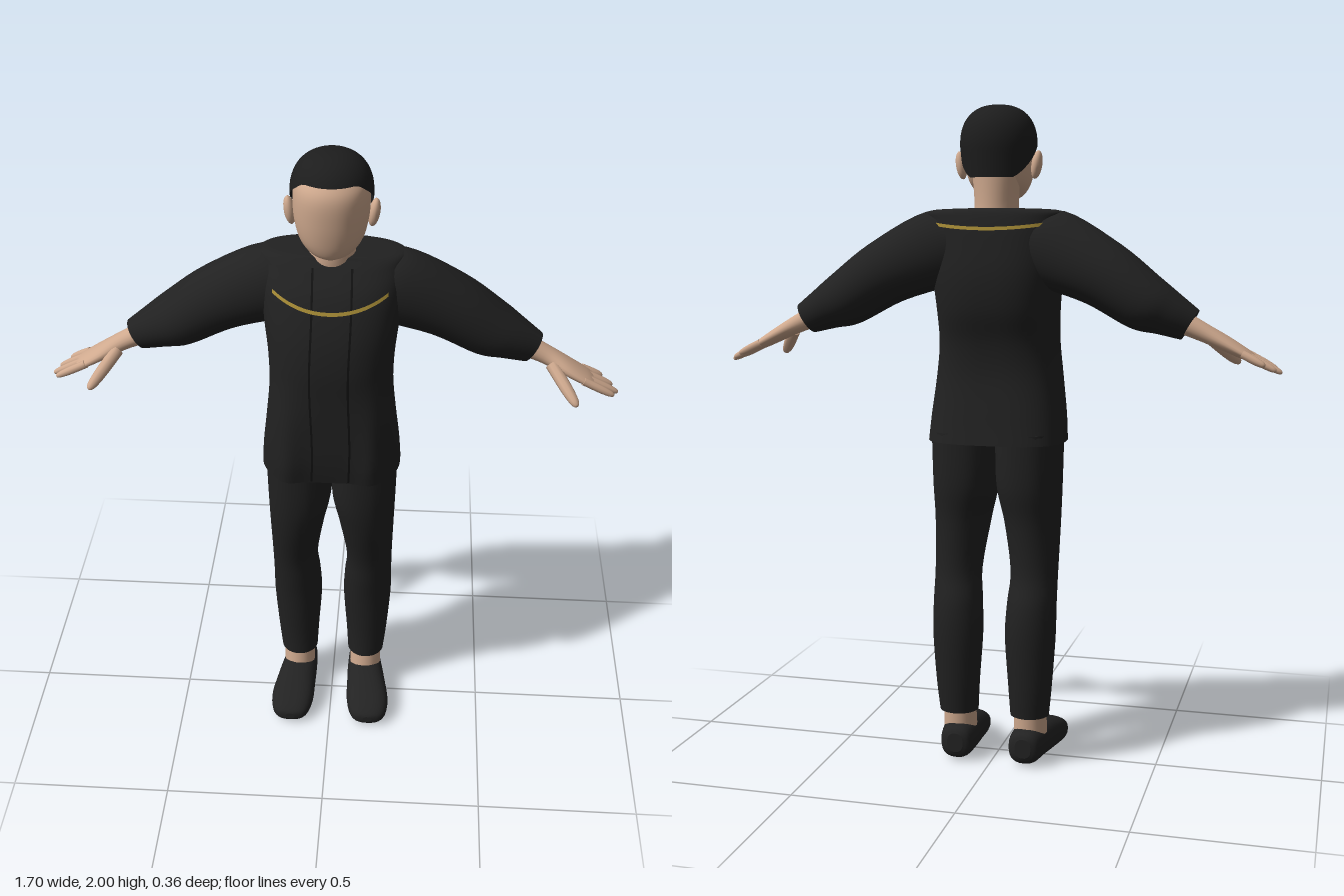
import * as THREE from 'three';

const mat = (name, color, side = THREE.FrontSide) => {
  const m = new THREE.MeshStandardMaterial({ color, side });
  m.name = name;
  return m;
};
const V3 = (x, y, z) => new THREE.Vector3(x, y, z);

// Catmull-Rom refinement of a list of number rows
function smooth(rows, k = 5) {
  const out = [], at = i => rows[Math.max(0, Math.min(rows.length - 1, i))];
  for (let i = 0; i < rows.length - 1; i++) {
    for (let s = 0; s < k; s++) {
      const t = s / k;
      out.push(rows[i].map((p1, c) => {
        const p0 = at(i - 1)[c], p2 = at(i + 1)[c], p3 = at(i + 2)[c];
        return p1 + 0.5 * t * (p2 - p0 + t * (2 * p0 - 5 * p1 + 4 * p2 - p3 + t * (3 * (p1 - p2) + p3 - p0)));
      }));
    }
  }
  out.push(rows[rows.length - 1]);
  return out;
}

// Surface from rings of points; optionally closed around and capped at both ends
function skin(rings, closed = true, caps = true) {
  const pos = [], idx = [], n = rings[0].length;
  rings.forEach(r => r.forEach(p => pos.push(p.x, p.y, p.z)));
  for (let i = 0; i < rings.length - 1; i++) {
    for (let j = 0; j < (closed ? n : n - 1); j++) {
      const a = i * n + j, b = i * n + (j + 1) % n;
      idx.push(a, b, b + n, a, b + n, a + n);
    }
  }
  if (caps) {
    [rings[0], rings[rings.length - 1]].forEach((r, end) => {
      const s = pos.length / 3, c = V3(0, 0, 0);
      r.forEach(p => { pos.push(p.x, p.y, p.z); c.addScaledVector(p, 1 / n); });
      pos.push(c.x, c.y, c.z);
      for (let j = 0; j < n; j++) {
        const a = s + j, b = s + (j + 1) % n;
        end ? idx.push(s + n, a, b) : idx.push(s + n, b, a);
      }
    });
  }
  const g = new THREE.BufferGeometry();
  g.setAttribute('position', new THREE.Float32BufferAttribute(pos, 3));
  g.setIndex(idx);
  g.computeVertexNormals();
  return g;
}

const spow = (v, e) => Math.sign(v) * Math.abs(v) ** e;

// Loft of superellipses: rows are [cx, cy, cz, radiusU, radiusV, exponent]
function loft(rows, U, V, seg = 32, rule = null) {
  return skin(smooth(rows).map(([x, y, z, a, b, n = 2]) => Array.from({ length: seg }, (_, j) => {
    const t = j / seg * Math.PI * 2;
    const p = V3(x, y, z).addScaledVector(U, a * spow(Math.cos(t), 2 / n)).addScaledVector(V, b * spow(Math.sin(t), 2 / n));
    if (rule) rule(p);
    return p;
  })));
}
const X = V3(1, 0, 0), Y = V3(0, 1, 0), Z = V3(0, 0, 1), BACK = V3(0, 0, -1);

// Upright rows [y, cx, rx, zFront, zBack, exponent]
const upright = rows => rows.map(([y, cx, rx, f, b, n = 2]) => [cx, y, (f + b) / 2, rx, (f - b) / 2, n]);

function mirrored(geo) {
  const g = geo.clone().scale(-1, 1, 1), ix = g.index.array;
  for (let i = 0; i < ix.length; i += 3) [ix[i], ix[i + 1]] = [ix[i + 1], ix[i]];
  g.computeVertexNormals();
  return g;
}

export function createModel() {
  const cloth = mat('black cloth', 0x212121), hairMat = mat('black hair', 0x1d1d1d, THREE.DoubleSide);
  const leather = mat('dark shoe', 0x232323), skinMat = mat('skin', 0xcfa98e);
  const gold = mat('gold trim', 0xa58a35, THREE.DoubleSide), seamMat = mat('dark seam', 0x111111, THREE.DoubleSide);
  const model = new THREE.Group();
  const add = (name, geo, m) => {
    const mesh = new THREE.Mesh(geo, m);
    mesh.name = name;
    model.add(mesh);
  };
  const pair = (name, geo, m) => {
    add('left' + name, geo, m);
    add('right' + name, mirrored(geo), m);
  };

  // Jacket body, with soft folds at the front hem
  const torsoRows = upright([
    [1.0, 0, 0.21, 0.14, -0.155, 2.8], [1.08, 0, 0.204, 0.15, -0.14, 2.8], [1.2, 0, 0.19, 0.155, -0.122, 2.8],
    [1.3, 0, 0.181, 0.157, -0.13, 2.7], [1.4, 0, 0.184, 0.158, -0.16, 2.6], [1.5, 0, 0.195, 0.143, -0.168, 2.5],
    [1.6, 0, 0.204, 0.106, -0.155, 2.4], [1.66, 0, 0.204, 0.06, -0.142, 2.4], [1.69, 0, 0.198, 0.03, -0.13, 2.3],
    [1.697, 0, 0.09, 0.03, -0.115, 2]]);
  add('jacketBody', loft(torsoRows, X, BACK, 64, p => {
    if (p.z > 0.03) {
      const low = THREE.MathUtils.clamp((1.35 - p.y) / 0.3, 0, 1);
      p.z += 0.022 * low * Math.exp(-(((Math.abs(p.x) - 0.13) / 0.045) ** 2));
    }
  }), cloth);

  // Thin strips that follow the jacket surface
  const fine = smooth(torsoRows);
  const onTorso = (x, y, side, lift) => {
    let i = 0;
    while (i < fine.length - 2 && fine[i + 1][1] < y) i++;
    const t = (y - fine[i][1]) / (fine[i + 1][1] - fine[i][1]);
    const [, , cz, rx, rz, n] = fine[i].map((v, c) => v + (fine[i + 1][c] - v) * t);
    return V3(x, y, cz + side * (rz * (1 - Math.abs(x / rx) ** n) ** (1 / n) + lift));
  };
  const strip = (point, count) => skin([-1, 1].map(e =>
    Array.from({ length: count + 1 }, (_, j) => point(j / count, e))), false, false);
  const trim = (side, y0, sag) => strip((t, e) => {
    const x = (t * 2 - 1) * 0.162;
    return onTorso(x, y0 + sag * (x / 0.162) ** 2 + e * 0.005, side, 0.005);
  }, 40);
  add('frontTrim', trim(1, 1.572, 0.038), gold);
  add('backTrim', trim(-1, 1.638, 0.012), gold);
  for (const x of [-0.052, 0.058]) {
    add('frontSeam', strip((t, e) =>
      onTorso(x + e * 0.003 + 0.003 * Math.sin(t * 9), 1.005 + t * 0.67, 1, 0.003), 40), seamMat);
  }

  // Sleeves
  const sleeveV = V3(-0.51, -0.86, 0);
  pair('Sleeve', loft([
    [0.05, 1.61, -0.05, 0.07, 0.07], [0.15, 1.587, -0.047, 0.095, 0.118], [0.329, 1.509, -0.07, 0.1, 0.1],
    [0.457, 1.427, -0.083, 0.094, 0.085], [0.527, 1.394, -0.083, 0.073, 0.066],
    [0.588, 1.365, -0.083, 0.047, 0.05]], Z, sleeveV), cloth);

  // Hands: palm, four fingers and thumb
  const handV = V3(-0.46, -0.888, 0);
  pair('Palm', loft([
    [0.57, 1.37, -0.08, 0.034, 0.033], [0.63, 1.342, -0.078, 0.034, 0.027], [0.69, 1.312, -0.068, 0.045, 0.022],
    [0.745, 1.283, -0.064, 0.048, 0.016], [0.768, 1.272, -0.064, 0.042, 0.01]], Z, handV, 20), skinMat);
  const finger = (from, to, r) => {
    const d = to.clone().sub(from), w = d.clone().normalize();
    const u = V3().crossVectors(Y, w).normalize(), v = V3().crossVectors(w, u);
    return loft([[0, 1], [0.55, 0.95], [0.85, 0.75], [0.97, 0.45], [1, 0.1]].map(([t, s]) => {
      const c = from.clone().addScaledVector(d, t);
      return [c.x, c.y, c.z, r * s, r * s];
    }), u, v, 10);
  };
  [[-0.101, -0.112, 0.805], [-0.077, -0.087, 0.835], [-0.052, -0.059, 0.85], [-0.027, -0.028, 0.835]]
    .forEach(([z0, z1, x]) => pair('Finger', finger(V3(0.74, 1.286, z0), V3(x, 1.23 + (0.85 - x) * 0.52, z1), 0.0125), skinMat));
  pair('Thumb', finger(V3(0.645, 1.325, -0.05), V3(0.72, 1.247, 0.052), 0.019), skinMat);

  // Trousers
  pair('TrouserLeg', loft(upright([
    [0.15, 0.113, 0.06, 0.0, -0.118], [0.25, 0.115, 0.068, 0.002, -0.13], [0.4, 0.115, 0.078, 0.015, -0.14],
    [0.5, 0.117, 0.076, 0.03, -0.134], [0.6, 0.12, 0.073, 0.047, -0.11], [0.75, 0.11, 0.086, 0.09, -0.115],
    [0.87, 0.1, 0.099, 0.11, -0.135, 2.2], [1.03, 0.1, 0.102, 0.115, -0.138, 2.3]]), X, BACK), cloth);

  // Ankles and shoes
  pair('Ankle', loft(upright([[0.07, 0.113, 0.052, 0.012, -0.095], [0.17, 0.113, 0.05, -0.004, -0.1]]), X, BACK, 20), skinMat);
  pair('Shoe', loft([
    [-0.132, 0.108, 0.025, 0.03, 0.09], [-0.115, 0.108, 0.048, 0.008, 0.108], [-0.05, 0.112, 0.058, 0.004, 0.112],
    [0.03, 0.12, 0.065, 0, 0.108], [0.1, 0.127, 0.07, 0, 0.092], [0.15, 0.13, 0.061, 0.002, 0.072],
    [0.175, 0.13, 0.043, 0.01, 0.056], [0.183, 0.13, 0.015, 0.022, 0.045]]
    .map(([z, x, r, lo, hi]) => [x, (lo + hi) / 2, z, r, (hi - lo) / 2, 2.5]), X, Y, 28), leather);

  // Neck, head and ears
  add('neck', loft(upright([[1.65, 0, 0.078, 0.04, -0.105], [1.7, 0, 0.066, 0.045, -0.1],
    [1.8, 0, 0.072, 0.04, -0.1]]), X, BACK), skinMat);
  add('head', loft(upright([
    [1.722, 0, 0.03, 0.088, 0.02], [1.735, 0, 0.062, 0.101, -0.02], [1.77, 0, 0.09, 0.112, -0.072, 2.1],
    [1.83, 0, 0.104, 0.12, -0.098, 2.1], [1.9, 0, 0.105, 0.12, -0.105, 2.1], [1.94, 0, 0.094, 0.1, -0.098],
    [1.975, 0, 0.055, 0.055, -0.06]]), X, BACK, 40), skinMat);
  const ear = new THREE.SphereGeometry(1, 16, 12).scale(0.016, 0.042, 0.021).rotateZ(-0.15).translate(0.116, 1.825, -0.003);
  pair('Ear', ear, skinMat);

  // Hair cap, whose hairline drops from the forehead to the nape
  const rings = Array.from({ length: 21 }, (_, i) => Array.from({ length: 48 }, (_, j) => {
    const a = j / 48 * Math.PI * 2, front = -Math.sin(a);
    const line = 1.865 + 0.075 * THREE.MathUtils.clamp(front * 1.35, -1.05, 1);
    const y = line + (2 - line) * Math.sin(i / 20 * Math.PI / 2);
    const f = y > 1.88 ? Math.max(0, 1 - ((y - 1.88) / 0.12) ** 2.4) ** (1 / 2.4) : 1 - 0.9 * (1.88 - y);
    return V3(0.115 * f * Math.cos(a), y, 0.118 * f * front - 0.003);
  }));
  add('hair', skin(rings, true, false), hairMat);

  return model;
}
